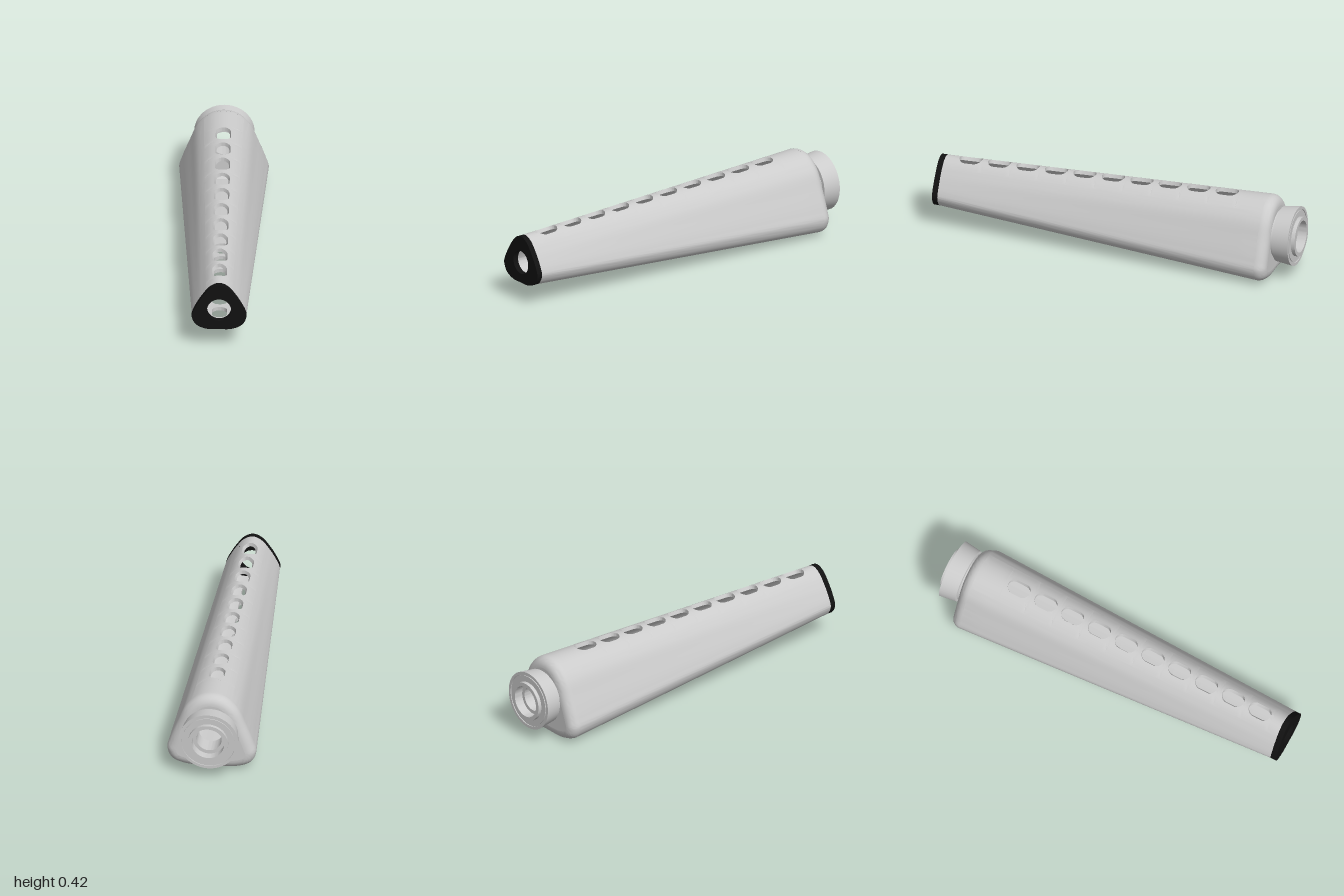
import * as THREE from 'three';
import { toCreasedNormals } from 'three/addons/utils/BufferGeometryUtils.js';

const Z0 = 0.97, Z1 = -0.82;          // straight part of the sleeve
const WALL = 0.02, FILLET = 0.055;
const AXIS = 0.219;                   // height of the bore
const PITCH = 0.158, FIRST = 0.833;   // slot spacing and first slot
const TOP_S = 1.5 / 16, BOT_S = 1 / 16;

// Closed rounded-triangle section from its right half, top to bottom
function section(half) {
  const left = half.slice(1, -1).reverse().map(([x, y]) => [-x, y]);
  return new THREE.CatmullRomCurve3(
    [...half, ...left].map(([x, y]) => new THREE.Vector3(x, y, 0)), true);
}
const front = section([[0, 0.365], [0.045, 0.347], [0.09, 0.293], [0.118, 0.247], [0.138, 0.205],
  [0.143, 0.18], [0.12, 0.134], [0.066, 0.109], [0, 0.107]]);
const back = section([[0, 0.425], [0.07, 0.408], [0.135, 0.348], [0.18, 0.25], [0.22, 0.148],
  [0.234, 0.095], [0.209, 0.037], [0.13, 0.005], [0, 0.003]]);

// Point on the tapered skin, moved inward by off
function skin(u, z, off = 0) {
  const t = (Z0 - z) / (Z0 - Z1);
  const at = (w) => {
    const m = ((w % 1) + 1) % 1;
    return front.getPoint(m).lerp(back.getPoint(m), t);
  };
  const p = at(u);
  if (off) {
    const d = at(u + 0.002).sub(at(u - 0.002)).normalize();
    p.x += d.y * off;
    p.y -= d.x * off;
  }
  p.z = z;
  return p;
}

// Quads between successive rows of points
function sheet(out, rows) {
  for (let k = 0; k < rows.length - 1; k++) {
    for (let j = 0; j < rows[k].length - 1; j++) {
      const a = rows[k][j], b = rows[k][j + 1], c = rows[k + 1][j + 1], d = rows[k + 1][j];
      for (const p of [a, b, c, a, c, d]) out.push(p.x, p.y, p.z);
    }
  }
}

function patch(out, u0, u1, n, rows) {
  sheet(out, rows.map(([z, off]) =>
    Array.from({ length: n + 1 }, (_, j) => skin(u0 + (u1 - u0) * j / n, z, off))));
}

// Outer and inner skin of a plain stretch
function wall(out, u0, u1, n, za, zb, steps) {
  const zs = Array.from({ length: steps + 1 }, (_, i) => za + (zb - za) * i / steps);
  patch(out, u0, u1, n, zs.map((z) => [z, 0]));
  patch(out, u0, u1, n, zs.reverse().map((z) => [z, WALL]));
}

// Wall cell with a rounded slot through it
function slotCell(out, uc, S, zc) {
  const N = 40, e = S / 2;
  const fs = [1, 0.75, 0.5, 0.25, 0];
  const loops = [...fs.map((f) => [f, 0]), ...fs.slice().reverse().map((f) => [f, WALL])];
  sheet(out, loops.map(([f, off]) => Array.from({ length: N + 1 }, (_, i) => {
    const a = -2 * Math.PI * i / N, c = Math.cos(a);
    const s = Math.abs(Math.sin(a)) < 1e-9 ? 0 : Math.sin(a);
    const m = Math.max(Math.abs(c), Math.abs(s));
    const zIn = zc + 0.04 * s + 0.0225 * Math.sign(s);
    const uIn = 0.04 * c * e / Math.abs(skin(uc + e, zIn).x);
    const u = uIn + (S * c / m - uIn) * f;
    const z = zIn + (zc + PITCH / 2 * s / m - zIn) * f;
    return skin(uc + u, z, off);
  })));
}

// Flat plate of the section with a round hole, reaching from z to z + depth
function plate(z, off, radius, depth) {
  const pts = Array.from({ length: 96 }, (_, i) => {
    const p = skin(i / 96, z, off);
    return new THREE.Vector2(p.x, p.y);
  });
  const shape = new THREE.Shape(pts);
  shape.holes.push(new THREE.Path().absarc(0, AXIS, radius, 0, Math.PI * 2, true));
  const g = new THREE.ExtrudeGeometry(shape, { depth, bevelEnabled: false, curveSegments: 48 });
  g.translate(0, 0, z);
  return toCreasedNormals(g, 0.6);
}

export function createModel() {
  const group = new THREE.Group();
  const grey = new THREE.MeshStandardMaterial({ color: 0xcccccc, side: THREE.DoubleSide });
  const black = new THREE.MeshStandardMaterial({ color: 0x111111, side: THREE.DoubleSide });
  const add = (name, geo, mat) => {
    const mesh = new THREE.Mesh(geo, mat);
    mesh.name = name;
    group.add(mesh);
    return mesh;
  };

  // Hollow tapered sleeve: two flanks, slotted ridge, slotted underside
  const tri = [];
  wall(tri, TOP_S, 0.5 - BOT_S, 40, Z0, Z1, 16);
  wall(tri, 0.5 + BOT_S, 1 - TOP_S, 40, Z0, Z1, 16);
  for (const [uc, S, count] of [[0, TOP_S, 10], [0.5, BOT_S, 6]]) {
    const start = FIRST + PITCH / 2;
    wall(tri, uc - S, uc + S, 10, Z0, start, 1);
    for (let i = 0; i < count; i++) slotCell(tri, uc, S, FIRST - PITCH * i);
    wall(tri, uc - S, uc + S, 10, start - PITCH * count, Z1, 6);
  }
  // Rounded rear edge, outside and inside
  const fillet = Array.from({ length: 9 }, (_, i) => {
    const a = Math.PI / 2 * i / 8;
    return [Z1 - FILLET * Math.sin(a), FILLET * (1 - Math.cos(a))];
  });
  patch(tri, 0, 1, 96, fillet);
  patch(tri, 0, 1, 96, [[Z1 - FILLET + WALL, FILLET], [Z1, WALL]]);
  const body = new THREE.BufferGeometry();
  body.setAttribute('position', new THREE.Float32BufferAttribute(tri, 3));
  add('sleeve', toCreasedNormals(body, 0.6), grey);

  add('rearWall', plate(Z1 - FILLET, FILLET, 0.07, WALL), grey);
  add('frontCap', plate(Z0, 0, 0.063, 1 - Z0), black);

  // Flared rear collar with a raised lip, face groove and stepped bore
  const profile = [[0.066, 0.85], [0.13, 0.85], [0.13, 0.886], [0.146, 0.888], [0.158, 0.98],
    [0.143, 0.98], [0.143, 0.975], [0.137, 0.975], [0.137, 0.98], [0.105, 0.98], [0.105, 1],
    [0.085, 1], [0.085, 0.95], [0.066, 0.95], [0.066, 0.85]];
  const collar = new THREE.LatheGeometry(profile.map(([r, d]) => new THREE.Vector2(r, d)), 64);
  collar.rotateX(-Math.PI / 2);
  add('collar', toCreasedNormals(collar, 0.5), grey).position.y = AXIS;

  return group;
}
